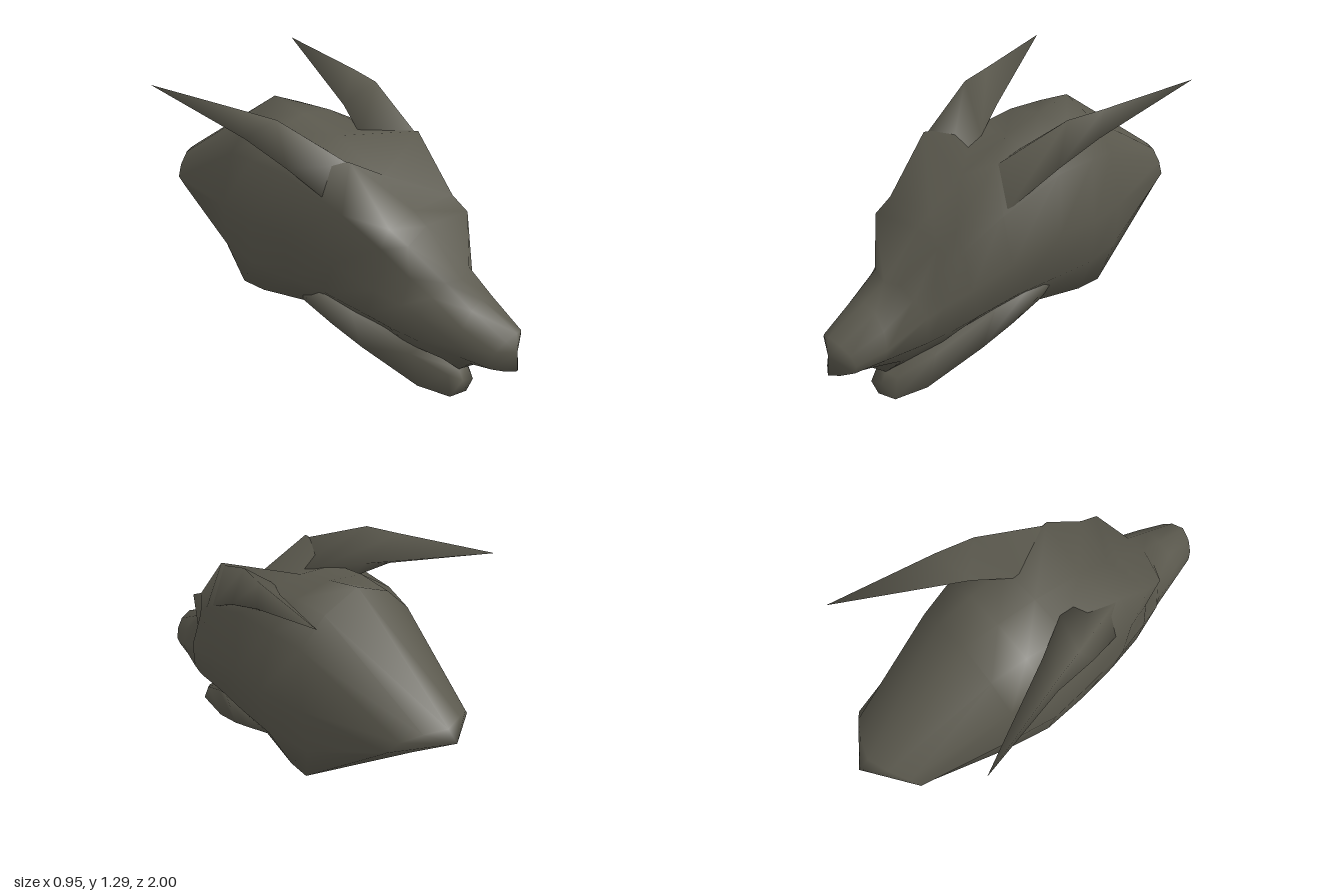
import * as THREE from 'three';

// Skin closed rings (front to back, clockwise seen from the front) and cap both ends.
function loft(name, rings, frontTip, backTip, material) {
  const n = rings[0].length;
  const points = [...rings.flat(), frontTip, backTip];
  const front = rings.length * n, back = front + 1, index = [];
  for (let j = 0; j < n; j++) {
    const k = (j + 1) % n;
    for (let i = 0; i < rings.length - 1; i++) {
      const a = i * n + j, b = i * n + k;
      index.push(a, b, a + n, b, b + n, a + n);
    }
    const last = (rings.length - 1) * n;
    index.push(front, k, j, back, last + j, last + k);
  }
  const geometry = new THREE.BufferGeometry();
  geometry.setAttribute('position', new THREE.Float32BufferAttribute(points.flat(), 3));
  geometry.setIndex(index);
  geometry.computeVertexNormals();
  const mesh = new THREE.Mesh(geometry, material);
  mesh.name = name;
  return mesh;
}

// Complete a half section (top centre to bottom centre on +x) by mirroring it.
const flip = ([x, y, z]) => [-x, y, z];
const whole = (half) => [...half, ...half.slice(1, -1).reverse().map(flip)];

export function createModel() {
  const group = new THREE.Group();
  group.name = 'hornedHead';
  const hide = new THREE.MeshStandardMaterial({ color: 0x5a584d });
  hide.name = 'dark olive grey hide';

  const head = new THREE.Group();
  head.name = 'head';
  head.position.x = 0.014;
  group.add(head);

  // Muzzle: nose tip to brow
  const muzzle = [
    [[0, 0.45, 0.98], [0.06, 0.43, 0.965], [0.1, 0.39, 0.945], [0.115, 0.34, 0.93], [0.1, 0.3, 0.93], [0.05, 0.28, 0.97], [0, 0.27, 1]],
    [[0, 0.54, 0.8], [0.08, 0.525, 0.8], [0.135, 0.46, 0.8], [0.155, 0.38, 0.8], [0.135, 0.32, 0.8], [0.06, 0.25, 0.8], [0, 0.22, 0.8]],
    [[0, 0.6, 0.69], [0.09, 0.615, 0.67], [0.15, 0.56, 0.65], [0.2, 0.48, 0.62], [0.2, 0.36, 0.62], [0.08, 0.23, 0.67], [0, 0.15, 0.71]],
    [[0, 0.79, 0.5], [0.215, 0.8, 0.565], [0.18, 0.63, 0.555], [0.24, 0.53, 0.56], [0.245, 0.4, 0.5], [0.12, 0.26, 0.5], [0, 0.2, 0.5]],
  ];
  // Skull: forehead to the pointed back
  const skull = [
    [[0, 0.84, 0.43], [0.225, 0.85, 0.475], [0.25, 0.76, 0.45], [0.275, 0.57, 0.44], [0.28, 0.44, 0.4], [0.14, 0.3, 0.4], [0, 0.25, 0.4]],
    [[0, 0.96, 0.26], [0.235, 1.095, 0.27], [0.31, 0.89, 0.29], [0.325, 0.65, 0.25], [0.32, 0.49, 0.2], [0.19, 0.34, 0.2], [0, 0.28, 0.2]],
    [[0, 1.075, 0], [0.2, 1.06, 0], [0.34, 1, 0], [0.36, 0.72, 0], [0.34, 0.5, 0], [0.21, 0.32, 0], [0, 0.28, 0]],
    [[0, 1.13, -0.2], [0.18, 1.1, -0.2], [0.325, 1, -0.22], [0.371, 0.72, -0.2], [0.345, 0.5, -0.22], [0.245, 0.3, -0.25], [0, 0.24, -0.28]],
    [[0, 1.175, -0.38], [0.17, 1.1, -0.38], [0.29, 0.98, -0.38], [0.325, 0.72, -0.42], [0.295, 0.5, -0.43], [0.255, 0.31, -0.37], [0, 0.27, -0.33]],
    [[0, 0.79, -0.945], [0.1, 0.785, -0.91], [0.18, 0.755, -0.865], [0.22, 0.71, -0.84], [0.22, 0.67, -0.795], [0.1, 0.67, -0.86], [0, 0.7, -0.93]],
  ];
  head.add(loft('skullAndMuzzle', [...muzzle, ...skull].map(whole), [0, 0.36, 0.99], [0, 0.75, -1], hide));

  // Lower jaw, flowing back into the cheeks
  const jaw = [
    [[0, 0.15, 0.71], [0.07, 0.15, 0.7], [0.09, 0.06, 0.73], [0, 0.055, 0.755]],
    [[0, 0.24, 0.56], [0.165, 0.25, 0.56], [0.1, 0.045, 0.56], [0, 0, 0.56]],
    [[0, 0.34, 0.3], [0.265, 0.41, 0.3], [0.18, 0.18, 0.3], [0, 0.13, 0.3]],
    [[0, 0.4, 0.16], [0.315, 0.485, 0.16], [0.21, 0.255, 0.15], [0, 0.2, 0.15]],
    [[0, 0.42, -0.04], [0.325, 0.5, -0.05], [0.215, 0.32, -0.02], [0, 0.278, 0]],
  ];
  head.add(loft('lowerJaw', jaw.map(whole), [0, 0.1, 0.735], [0, 0.4, -0.1], hide));

  // Swept-back horns growing out of the brow; each ring runs ridge, outer, under, inner
  const horn = [
    [[0.23, 1.085, 0.26], [0.3, 0.9, 0.26], [0.2, 0.9, 0.2], [0.11, 0.97, 0.23]],
    [[0.33, 1.23, -0.05], [0.352, 1.035, 0.02], [0.25, 1, -0.05], [0.115, 1.05, 0.04]],
    [[0.372, 1.246, -0.22], [0.375, 1.12, -0.2], [0.32, 1.12, -0.22], [0.23, 1.12, -0.16]],
  ];
  head.add(loft('leftHorn', horn, [0.2, 0.9, 0.36], [0.461, 1.29, -0.7], hide));
  head.add(loft('rightHorn', horn.map((ring) => ring.map(flip).reverse()), [-0.2, 0.9, 0.36], [-0.489, 1.29, -0.66], hide));

  return group;
}
